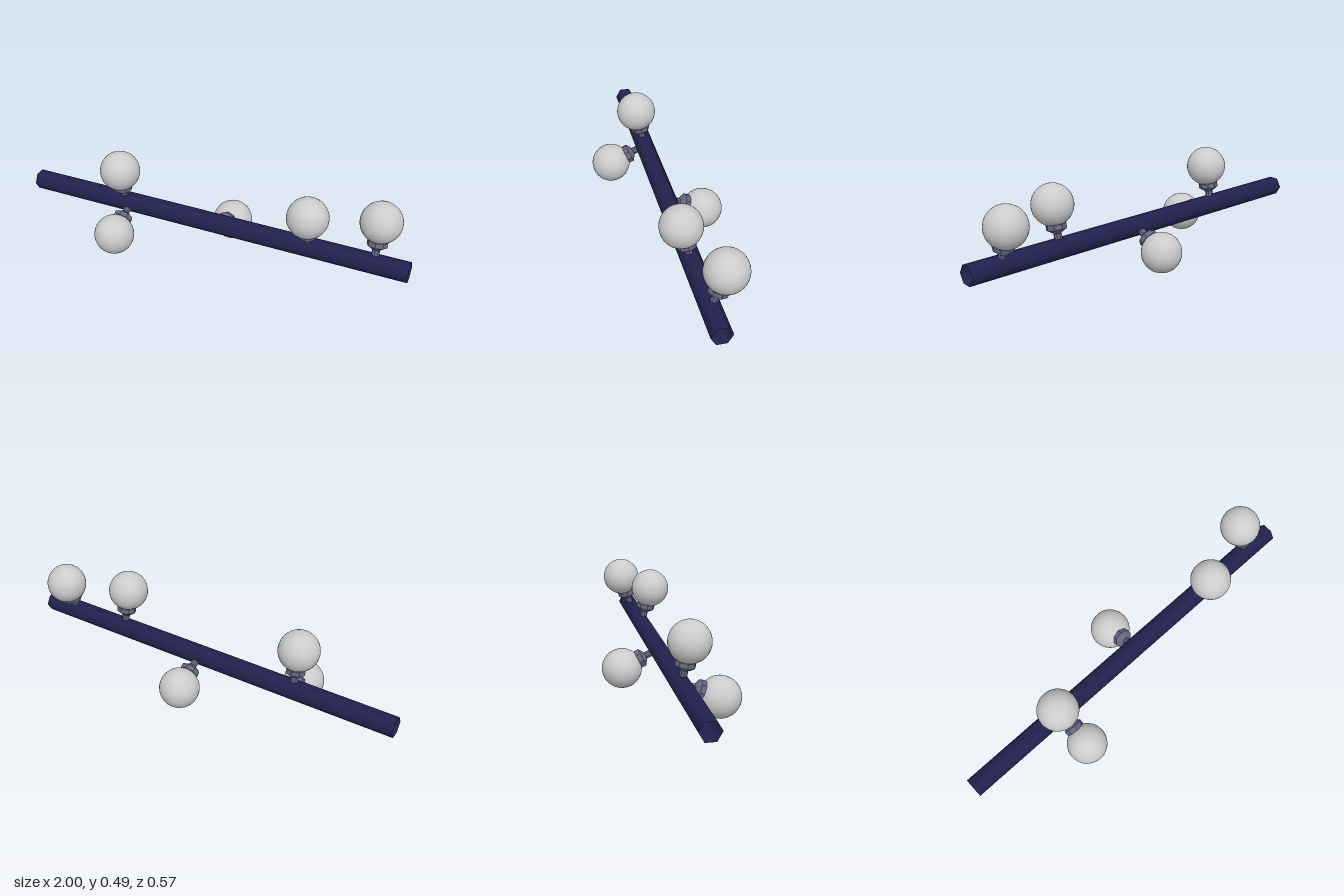
import * as THREE from 'three';

const AXIS_Y = 0.189;   // height of the bar's centre line
const BULB_DIST = 0.205; // bulb centre to bar centre

const barMat = new THREE.MeshStandardMaterial({ color: 0x222250, side: THREE.DoubleSide });
const socketMat = new THREE.MeshStandardMaterial({ color: 0x666680, flatShading: true, side: THREE.DoubleSide });
const bulbMat = new THREE.MeshStandardMaterial({ color: 0xcccccc });

function add(parent, name, geometry, material) {
  const mesh = new THREE.Mesh(geometry, material);
  mesh.name = name;
  parent.add(mesh);
  return mesh;
}

// One lamp standing along +y from the bar's centre line
function makeLamp() {
  const lamp = new THREE.Group();
  lamp.name = 'lamp';

  // stem, flared collar and rim of the socket
  const profile = [[0.019, 0.043], [0.019, 0.071], [0.049, 0.09], [0.049, 0.114], [0, 0.114]]
    .map(([r, y]) => new THREE.Vector2(r, y));
  add(lamp, 'socket', new THREE.LatheGeometry(profile, 8), socketMat);

  const bulb = add(lamp, 'bulb', new THREE.SphereGeometry(0.1, 32, 20), bulbMat);
  bulb.position.y = BULB_DIST;
  return lamp;
}

export function createModel() {
  const model = new THREE.Group();
  model.name = 'lampBar';

  // open six-sided tube, flats at top and bottom
  const barGeo = new THREE.CylinderGeometry(0.05, 0.05, 2, 6, 1, true);
  barGeo.rotateZ(Math.PI / 2);
  const bar = add(model, 'bar', barGeo, barMat);
  bar.position.y = AXIS_Y;

  // lamps: position along the bar, tilt from upright towards the front
  const lamps = [[-0.48, 10.5], [-0.45, 113.3], [0.045, -115.7], [0.51, 13.5], [0.83, -17.5]];
  for (const [x, tilt] of lamps) {
    const lamp = makeLamp();
    lamp.position.set(x, AXIS_Y, 0);
    lamp.rotation.x = THREE.MathUtils.degToRad(tilt);
    model.add(lamp);
  }
  return model;
}
